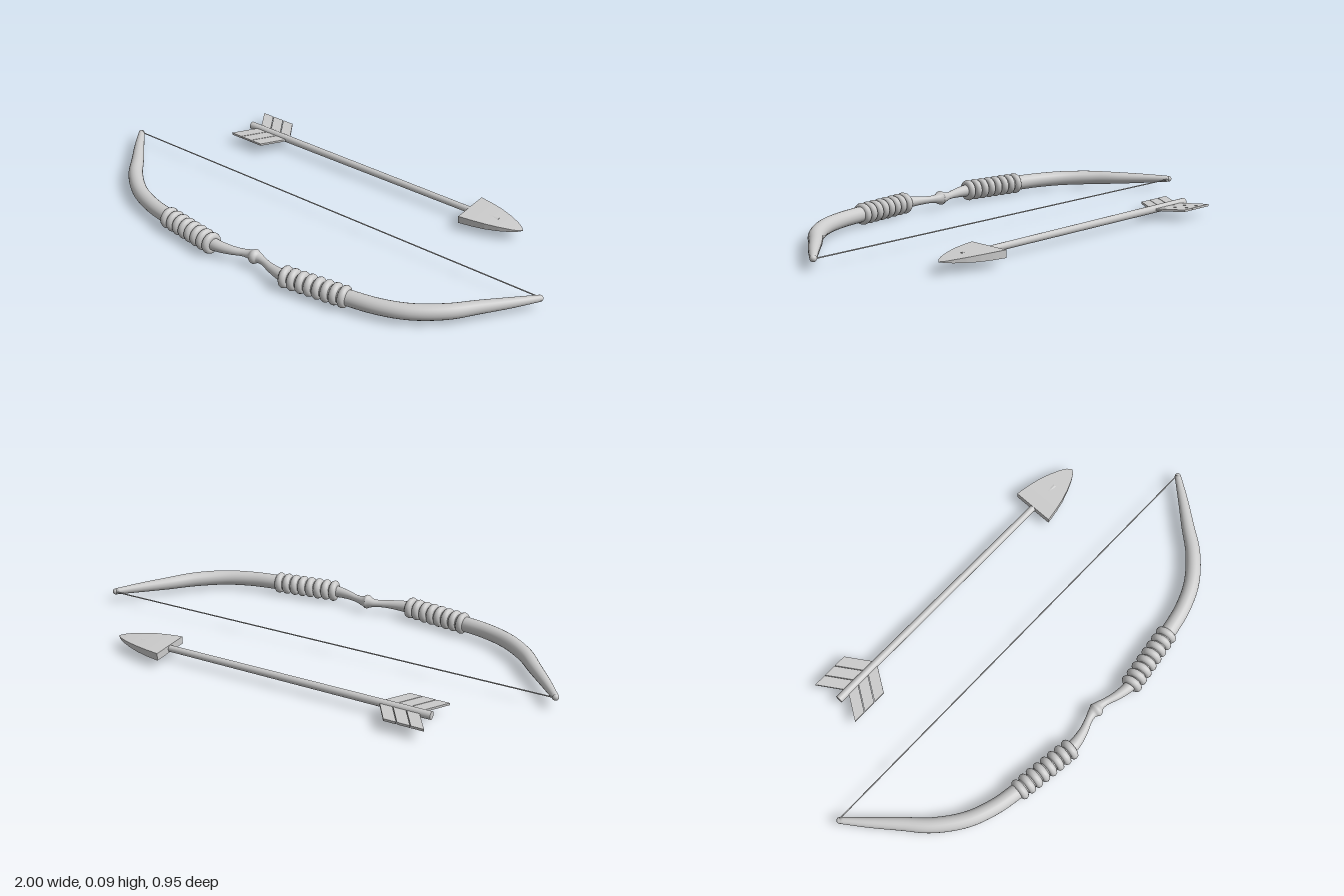
import * as THREE from 'three';

const Y = 0.044; // height of every centre line
const material = new THREE.MeshStandardMaterial({ color: 0xcccccc });
const flat = new THREE.MeshStandardMaterial({ color: 0xcccccc, flatShading: true });

function add(parent, name, geometry, mat = material) {
  const mesh = new THREE.Mesh(geometry, mat);
  mesh.name = name;
  parent.add(mesh);
  return mesh;
}

// Joins equal-sized loops of points into a closed skin with capped ends
function loft(loops) {
  const n = loops[0].length, pos = [], index = [];
  loops.forEach((loop) => loop.forEach((p) => pos.push(...p)));
  for (let i = 0; i < loops.length - 1; i++) {
    for (let j = 0; j < n; j++) {
      const a = i * n + j, b = i * n + (j + 1) % n;
      index.push(a, b, a + n, b, b + n, a + n);
    }
  }
  const last = (loops.length - 1) * n;
  for (let j = 1; j < n - 1; j++) {
    index.push(0, j + 1, j, last, last + j, last + j + 1);
  }
  const g = new THREE.BufferGeometry();
  g.setAttribute('position', new THREE.Float32BufferAttribute(pos, 3));
  g.setIndex(index);
  g.computeVertexNormals();
  return g;
}

// Bow stave: the curve carries x, z and the radius of each round section
function staveGeometry() {
  const half = [
    [0.02, 0.398, 0.02], [0.05, 0.405, 0.015], [0.1, 0.421, 0.018], [0.17, 0.431, 0.024],
    [0.3, 0.416, 0.028], [0.43, 0.396, 0.031], [0.55, 0.372, 0.031], [0.66, 0.327, 0.031],
    [0.765, 0.245, 0.03], [0.84, 0.155, 0.026], [0.92, 0.06, 0.02], [0.987, -0.024, 0.013],
  ];
  const point = ([x, z, r], s) => new THREE.Vector3(s * x, z, r);
  const curve = new THREE.CatmullRomCurve3([
    ...half.map((p) => point(p, -1)).reverse(),
    new THREE.Vector3(0, 0.399, 0.029),
    ...half.map((p) => point(p, 1)),
  ], false, 'centripetal');
  const loops = [], steps = 192, sides = 20;
  for (let i = 0; i <= steps; i++) {
    const p = curve.getPoint(i / steps), t = curve.getTangent(i / steps);
    const len = Math.hypot(t.x, t.y);
    const nx = -t.y / len, nz = t.x / len;
    const loop = [];
    for (let j = 0; j < sides; j++) {
      const a = -j / sides * Math.PI * 2;
      const c = Math.cos(a) * p.z;
      loop.push([p.x + nx * c, Y + Math.sin(a) * p.z, p.y + nz * c]);
    }
    loops.push(loop);
  }
  return loft(loops);
}

function createBow() {
  const bow = new THREE.Group();
  bow.name = 'bow';
  add(bow, 'stave', staveGeometry());

  for (const side of [-1, 1]) {
    const label = side > 0 ? 'left' : 'right';
    add(bow, label + 'Tip', new THREE.SphereGeometry(0.013, 16, 12))
      .position.set(side * 0.987, Y, -0.024);

    // Grip binding: a row of eight rounded bands along the stave
    const binding = new THREE.Group();
    binding.name = label + 'Binding';
    const start = side > 0 ? 0.175 : 0.19;
    for (let i = 0; i < 8; i++) {
      const k = i / 7;
      const band = add(binding, 'band', new THREE.TorusGeometry(0.028, 0.016, 10, 24));
      band.position.set(side * (start + 0.245 * k), Y, 0.431 - 0.034 * k);
      band.rotation.y = side * (Math.PI / 2 + 0.138);
    }
    bow.add(binding);
  }

  // String between the two tips
  const string = add(bow, 'string', new THREE.CylinderGeometry(0.0025, 0.0025, 1.97, 6));
  string.rotation.z = Math.PI / 2;
  string.position.set(0, Y, -0.029);
  return bow;
}

// Arrowhead: rectangular sections of [x, half width, half thickness]
function headGeometry() {
  const sections = [
    [0.472, 0.087, 0.015], [0.53, 0.078, 0.014], [0.58, 0.067, 0.0125],
    [0.63, 0.051, 0.0095], [0.675, 0.032, 0.006], [0.7, 0.017, 0.003], [0.714, 0.002, 0.001],
  ];
  return loft(sections.map(([x, w, t]) => [[x, -t, w], [x, -t, -w], [x, t, -w], [x, t, w]]));
}

function createArrow() {
  const arrow = new THREE.Group();
  arrow.name = 'arrow';
  arrow.position.set(0, Y, -0.368);

  const shaft = add(arrow, 'shaft', new THREE.CylinderGeometry(0.013, 0.016, 1.255, 16));
  shaft.rotation.z = -Math.PI / 2;
  shaft.position.x = -0.0225;

  add(arrow, 'head', headGeometry(), flat);

  // Fletching: three swept vanes on each side of the shaft
  for (const side of [-1, 1]) {
    for (let i = 0; i < 3; i++) {
      const x = -0.605 + i * 0.054, w = 0.051;
      const shape = new THREE.Shape([
        new THREE.Vector2(x, 0.008 * side),
        new THREE.Vector2(x + w, 0.008 * side),
        new THREE.Vector2(x + w - 0.066, 0.11 * side),
        new THREE.Vector2(x - 0.066, 0.11 * side),
      ]);
      const thickness = 0.009;
      const vane = add(arrow, side > 0 ? 'frontVane' : 'backVane',
        new THREE.ExtrudeGeometry(shape, { depth: thickness, bevelEnabled: false }), flat);
      vane.rotation.x = Math.PI / 2;
      vane.position.y = thickness / 2;
    }
  }
  return arrow;
}

export function createModel() {
  const model = new THREE.Group();
  model.name = 'bowAndArrow';
  model.add(createBow(), createArrow());
  return model;
}
